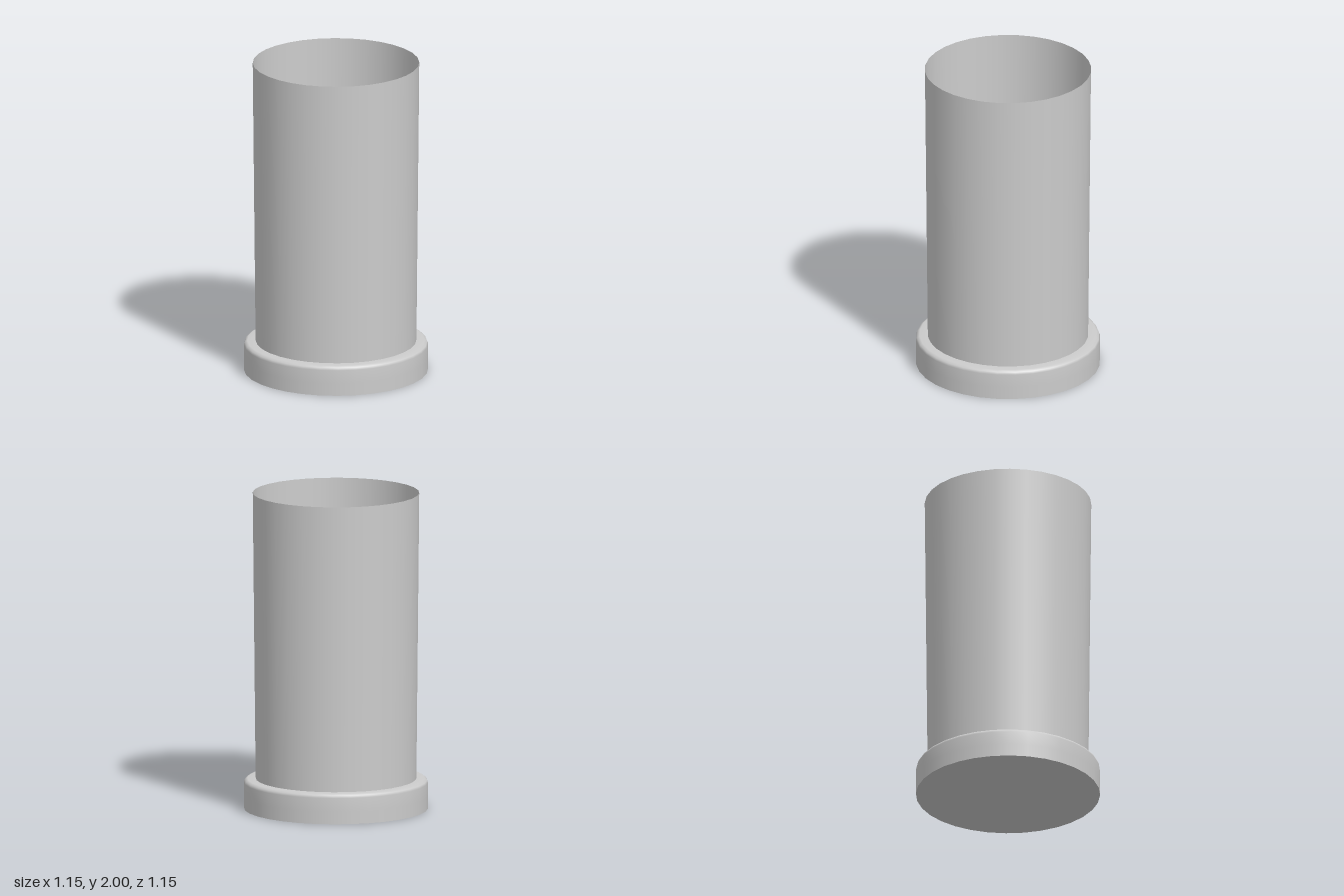
import * as THREE from 'three';

const SIDES = 32;

export function createModel() {
  const model = new THREE.Group();
  const grey = new THREE.MeshStandardMaterial({ color: 0xcccccc });
  const greyThin = new THREE.MeshStandardMaterial({ color: 0xcccccc, side: THREE.DoubleSide });

  const add = (name, geometry, material = grey) => {
    const mesh = new THREE.Mesh(geometry, material);
    mesh.name = name;
    model.add(mesh);
    return mesh;
  };

  // Base collar: straight side, softly rounded upper edge, flat lip
  const profile = [[0.575, 0], [0.575, 0.08], [0.575, 0.165], [0.569, 0.18], [0.553, 0.19], [0.49, 0.19]];
  add('baseCollar', new THREE.LatheGeometry(profile.map(([x, y]) => new THREE.Vector2(x, y)), SIDES));

  // Underside of the base
  add('baseUnderside', new THREE.CircleGeometry(0.575, SIDES)).rotation.x = Math.PI / 2;

  // Floor inside the cup
  const floor = add('innerFloor', new THREE.CircleGeometry(0.502, SIDES));
  floor.rotation.x = -Math.PI / 2;
  floor.position.y = 0.19;

  // Thin wall, open at the top and flaring slightly upwards
  const wall = add('cupWall', new THREE.CylinderGeometry(0.52, 0.502, 1.81, SIDES, 1, true), greyThin);
  wall.position.y = 0.19 + 1.81 / 2;

  return model;
}
